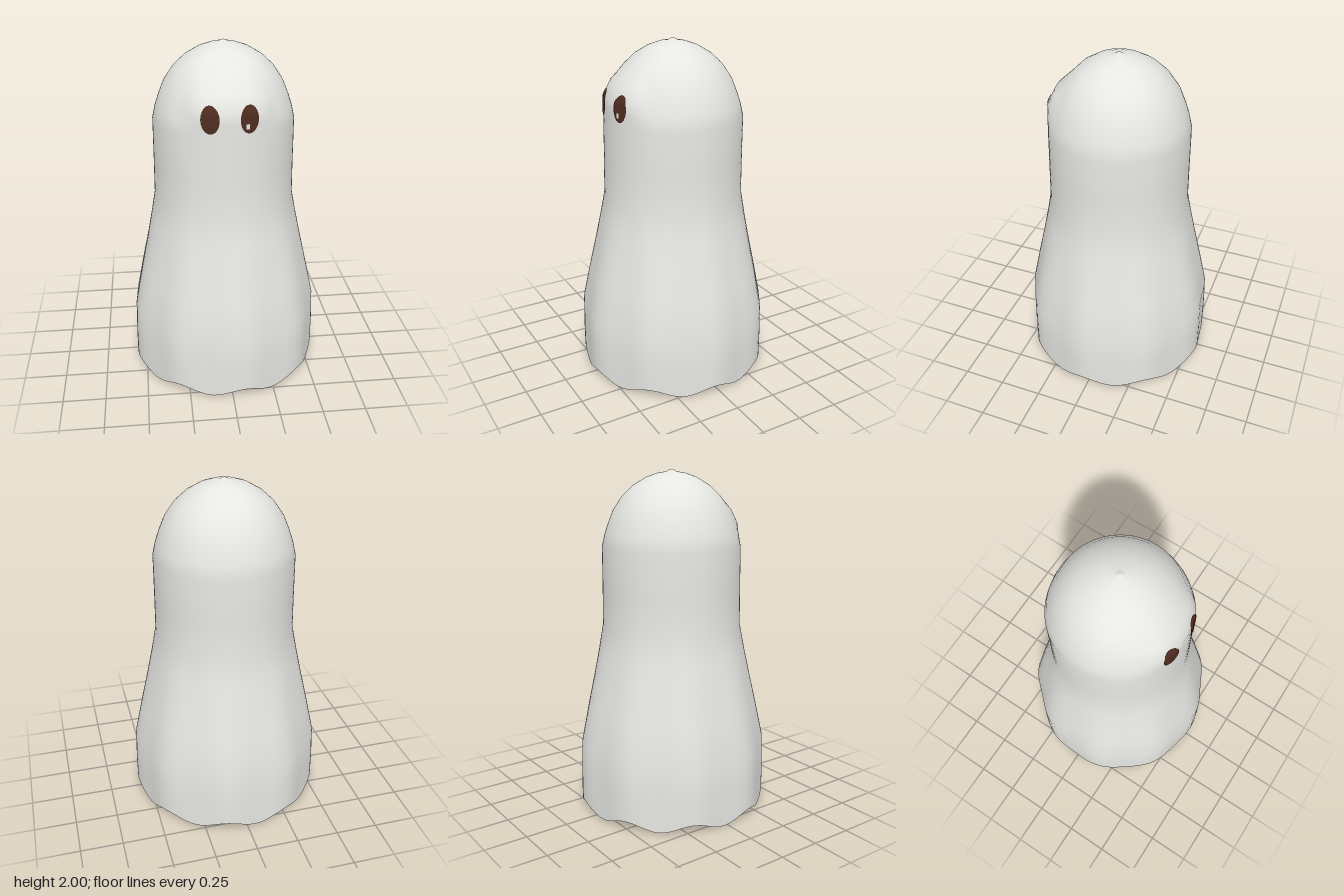
import * as THREE from 'three';
import { mergeVertices } from 'three/addons/utils/BufferGeometryUtils.js';

// Rows of the sheet: height, general radius, radius at the face, depth of the folds
const ROWS = [
  [0, 0.560, 0.560, 0.010], [0.2, 0.560, 0.560, 0.010], [0.39, 0.555, 0.555, 0.009],
  [0.6, 0.512, 0.512, 0.006], [0.8, 0.468, 0.468, 0.004], [0.95, 0.437, 0.437, 0.002],
  [1.1, 0.409, 0.409, 0], [1.3, 0.407, 0.405, 0], [1.56, 0.406, 0.400, 0],
  [1.63, 0.390, 0.399, 0], [1.69, 0.370, 0.396, 0], [1.77, 0.338, 0.356, 0],
  [1.85, 0.284, 0.274, 0], [1.91, 0.220, 0.216, 0], [1.955, 0.145, 0.145, 0],
  [1.978, 0.080, 0.080, 0], [1.986, 0.030, 0.030, 0], [1.995, 0.016, 0.016, 0], [2, 0, 0, 0],
];

// Nine folds run around the hem
const fold = (angle) => Math.cos(9 * (angle - THREE.MathUtils.degToRad(3)));

// Radius of the sheet at an angle (from +x towards +z) and a height
function sheetRadius(angle, y) {
  let i = 0;
  while (i < ROWS.length - 2 && y > ROWS[i + 1][0]) i++;
  const a = ROWS[i], b = ROWS[i + 1];
  const t = THREE.MathUtils.clamp((y - a[0]) / (b[0] - a[0]), 0, 1);
  const [, r, face, depth] = a.map((v, k) => THREE.MathUtils.lerp(v, b[k], t));
  const fromFront = Math.abs(Math.atan2(Math.cos(angle), Math.sin(angle)));
  const w = 1 - THREE.MathUtils.smoothstep(fromFront, 0.4, 0.8);
  return THREE.MathUtils.lerp(r, face, w) + depth * fold(angle);
}

// Draped sheet: a lathe whose vertices follow the folds and the flatter face
function sheetGeometry() {
  let geo = new THREE.LatheGeometry(ROWS.map(([y, r]) => new THREE.Vector2(r, y)), 90);
  geo.deleteAttribute('uv');
  geo.deleteAttribute('normal');
  geo = mergeVertices(geo, 1e-5);
  const p = geo.attributes.position;
  for (let i = 0; i < p.count; i++) {
    const y = p.getY(i);
    if (y > 1.999) continue;
    const angle = Math.atan2(p.getZ(i), p.getX(i));
    const r = sheetRadius(angle, y);
    const hem = y < 0.01 ? 0.025 + 0.025 * fold(angle) : y;
    p.setXYZ(i, r * Math.cos(angle), hem, r * Math.sin(angle));
  }
  geo.computeVertexNormals();
  return geo;
}

// Lays a flat patch on the face
function wrapOnFace(geo, x, y, lift) {
  geo.translate(x, y, 0);
  const p = geo.attributes.position;
  for (let i = 0; i < p.count; i++) {
    const px = p.getX(i);
    const r = sheetRadius(Math.PI / 2 - Math.asin(px / 0.4), p.getY(i));
    p.setZ(i, Math.sqrt(r * r - px * px) + lift);
  }
  geo.computeVertexNormals();
  return geo;
}

export function createModel() {
  const cloth = new THREE.MeshStandardMaterial({ color: 0xe6e6e3, side: THREE.DoubleSide });
  cloth.name = 'pale cloth';
  const dark = new THREE.MeshStandardMaterial({ color: 0x4e2c20 });
  dark.name = 'dark brown';

  const group = new THREE.Group();
  group.name = 'ghost';
  const add = (name, geo, mat) => {
    const mesh = new THREE.Mesh(geo, mat);
    mesh.name = name;
    group.add(mesh);
  };

  add('sheet', sheetGeometry(), cloth);

  // Oval eyes
  for (const [name, x] of [['rightEye', -0.11], ['leftEye', 0.1]]) {
    const oval = new THREE.RingGeometry(0.0001, 1, 32, 6).scale(0.05, 0.075, 1);
    add(name, wrapOnFace(oval, x, 1.657, 0.005), dark);
  }

  // Small glint in the left eye
  add('eyeGlint', wrapOnFace(new THREE.PlaneGeometry(0.018, 0.028), 0.09, 1.62, 0.008), cloth);

  return group;
}
